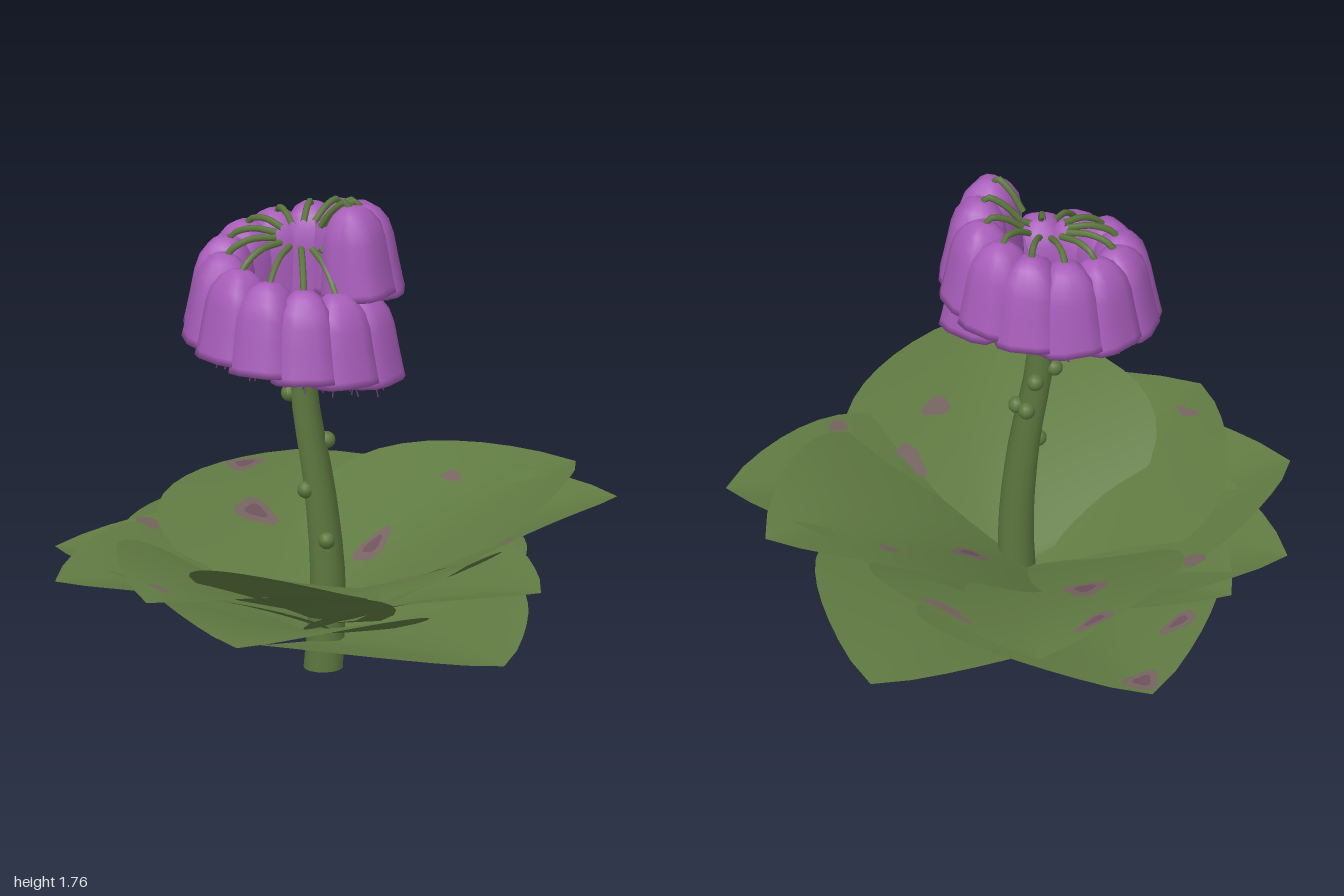
import * as THREE from 'three';

const paint = (name, color, side = THREE.FrontSide) => {
  const m = new THREE.MeshStandardMaterial({ color, side });
  m.name = name;
  return m;
};
const V = (x, y, z) => new THREE.Vector3(x, y, z);

const BASE = { x: 0.07, z: 0.03 };   // foot of the stem
const HEAD = { x: 0.02, z: 0.1 };    // axis of the flower spiral

// Leaves: tip x, tip y, tip z, base height, width factor
const LEAVES = [
  [-0.22, 0.30, -1.00, 0.13, 1.00], [0.37, 0.61, -0.94, 0.20, 1.00],
  [0.72, 0.59, -0.79, 0.16, 0.92], [0.88, 0.39, -0.24, 0.15, 0.92],
  [0.99, 0.21, 0.06, 0.10, 1.00], [0.93, 0.56, 0.61, 0.19, 1.00],
  [0.43, 0.33, 0.84, 0.12, 0.90], [0.14, 0.47, 1.00, 0.16, 1.00],
  [-0.38, 0.42, 0.93, 0.15, 1.00], [-0.76, 0.38, 0.54, 0.13, 0.95],
  [-0.80, 0.38, 0.22, 0.14, 0.85], [-1.00, 0.33, -0.37, 0.14, 1.00],
  [-0.72, 0.48, -0.66, 0.18, 1.00],
].map(([x, tipY, z, baseY, wide]) => {
  const dx = x - BASE.x, dz = z - BASE.z, length = Math.hypot(dx, dz);
  return { tipY, baseY, wide, length, c: dx / length, s: dz / length };
});

const halfWidth = (leaf, u) =>
  0.56 * leaf.wide * Math.pow(Math.max(0, Math.sin(Math.PI * Math.pow(u, 0.68))), 0.8);

// Leaf surface: arched along its length, sides lifted
const leafHeight = (leaf, u, across) =>
  leaf.baseY + (leaf.tipY - leaf.baseY) * (1 - Math.pow(1 - Math.min(u, 1), 1.7)) +
  0.24 * Math.pow(Math.abs(across), 1.3);

function leafGeometry(leaf) {
  const g = new THREE.PlaneGeometry(2, 1, 8, 14), p = g.attributes.position;
  for (let i = 0; i < p.count; i++) {
    const u = THREE.MathUtils.clamp(p.getY(i) + 0.5, 0, 1);
    const across = p.getX(i) * halfWidth(leaf, u), along = u * leaf.length;
    p.setXYZ(i, BASE.x + leaf.c * along - leaf.s * across, leafHeight(leaf, u, across),
      BASE.z + leaf.s * along + leaf.c * across);
  }
  g.computeVertexNormals();
  return g;
}

// Position of a ground point in leaf terms
function onLeaf(leaf, x, z) {
  const dx = x - BASE.x, dz = z - BASE.z;
  const u = (dx * leaf.c + dz * leaf.s) / leaf.length, across = dz * leaf.c - dx * leaf.s;
  const inside = u > 0 && u < 1 && Math.abs(across) < halfWidth(leaf, u);
  return { inside, y: leafHeight(leaf, Math.max(u, 0), across) };
}

// Irregular blotch lying on the uppermost leaf at its centre
function spotGeometry(x, z, rx, rz, lift) {
  let top = LEAVES[0], best = -1;
  for (const leaf of LEAVES) {
    const hit = onLeaf(leaf, x, z);
    if (hit.inside && hit.y > best) { best = hit.y; top = leaf; }
  }
  const g = new THREE.CircleGeometry(1, 14).rotateX(-Math.PI / 2), p = g.attributes.position;
  for (let i = 0; i < p.count; i++) {
    const a = Math.atan2(p.getZ(i), p.getX(i)), k = 1 + 0.18 * Math.sin(3 * a + x * 9);
    const px = x + p.getX(i) * rx * k, pz = z + p.getZ(i) * rz * k;
    p.setXYZ(i, px, onLeaf(top, px, pz).y + lift, pz);
  }
  g.computeVertexNormals();
  return g;
}

// Bell with a slightly squared cross-section and a shallow closed mouth
function bellGeometry() {
  const profile = [[0, -0.295], [0.11, -0.305], [0.131, -0.32], [0.127, -0.295], [0.116, -0.2],
    [0.108, -0.12], [0.094, -0.065], [0.066, -0.022], [0.035, 0], [0, 0.004]]
    .map(([r, y]) => new THREE.Vector2(r, y));
  const g = new THREE.LatheGeometry(profile, 16), p = g.attributes.position;
  for (let i = 0; i < p.count; i++) {
    const k = 1 - 0.08 * Math.cos(4 * Math.atan2(p.getZ(i), p.getX(i)));
    p.setXYZ(i, p.getX(i) * k, p.getY(i), p.getZ(i) * k);
  }
  g.computeVertexNormals();
  return g;
}

export function createModel() {
  const model = new THREE.Group();
  model.name = 'bellFlowerPlant';
  const stemGreen = paint('stemGreen', 0x5c763e);
  const leafGreen = paint('leafGreen', 0x607a42, THREE.DoubleSide);
  const spotMauve = paint('spotMauve', 0x75645f, THREE.DoubleSide);
  const spotDark = paint('spotDark', 0x6d525e, THREE.DoubleSide);
  const bellPurple = paint('bellPurple', 0xa75cb9);
  const stamenPurple = paint('stamenPurple', 0x5f3b66);
  const add = (parent, name, geometry, material) => {
    const mesh = new THREE.Mesh(geometry, material);
    mesh.name = name;
    parent.add(mesh);
    return mesh;
  };

  // Leaning, tapered stem
  const H = 1.35;
  const lean = new THREE.CatmullRomCurve3([V(0.068, 0, 0.03), V(0.105, 0.34, 0.045),
    V(0.095, 0.675, 0.075), V(0.04, 1.01, 0.095), V(0.015, 1.35, 0.09)]);
  const stemCentre = (y) => lean.getPoint(THREE.MathUtils.clamp(y / H, 0, 1));
  const stem = new THREE.CylinderGeometry(0.042, 0.07, H, 14, 14).translate(0, H / 2, 0);
  const sp = stem.attributes.position;
  for (let i = 0; i < sp.count; i++) {
    const c = stemCentre(sp.getY(i));
    sp.setXYZ(i, sp.getX(i) + c.x, sp.getY(i), sp.getZ(i) + c.z);
  }
  add(model, 'stem', stem, stemGreen);

  // Round buds on the stem: height, angle around it
  for (const [y, a] of [[0.5, 0.7], [0.68, 1.9], [0.85, -2.0], [0.85, -1.0], [0.98, -2.2], [1.02, 2.6]]) {
    const c = stemCentre(y), r = 0.055;
    add(model, 'stemBud', new THREE.SphereGeometry(0.031, 12, 8), stemGreen)
      .position.set(c.x + r * Math.cos(a), y, c.z + r * Math.sin(a));
  }

  // Rosette of broad leaves
  const rosette = new THREE.Group();
  rosette.name = 'leafRosette';
  model.add(rosette);
  for (const leaf of LEAVES) add(rosette, 'leaf', leafGeometry(leaf), leafGreen);

  // Blotches on both faces of the leaves: x, z, half sizes
  for (const [x, z, rx, rz] of [[-0.92, -0.34, 0.06, 0.07], [-0.7, -0.36, 0.035, 0.09],
    [-0.45, -0.16, 0.08, 0.07], [-0.76, 0.0, 0.04, 0.08], [-0.6, 0.23, 0.04, 0.04],
    [0.55, -0.04, 0.065, 0.045], [0.66, 0.2, 0.035, 0.06], [0.75, -0.2, 0.025, 0.04],
    [0.07, -0.62, 0.045, 0.025], [-0.28, -0.68, 0.12, 0.025], [0.05, 0.84, 0.05, 0.02],
    [0.04, -0.25, 0.05, 0.08]]) {
    for (const face of [1, -1]) {
      add(rosette, 'leafSpot', spotGeometry(x, z, rx, rz, 0.005 * face), spotMauve);
      if (rx * rz > 0.003)
        add(rosette, 'leafSpotCore', spotGeometry(x, z, rx * 0.5, rz * 0.5, 0.008 * face), spotDark);
    }
  }

  // Bells in one descending turn around the stem
  const bell = bellGeometry(), rod = new THREE.CylinderGeometry(0.003, 0.003, 0.1, 5);
  const COUNT = 14;
  for (let i = 0; i < COUNT; i++) {
    const t = i / (COUNT - 1), top = 1.74 - 0.31 * t;
    const r = 0.21 + 0.04 * t + 0.035 * Math.sin(Math.PI * t);
    const flower = new THREE.Group();
    flower.name = 'flower';
    flower.position.set(HEAD.x, 0, HEAD.z);
    flower.rotation.y = THREE.MathUtils.degToRad(15 + 27.5 * i);
    model.add(flower);

    // Bent stalk
    const startY = 1.65 - 0.08 * t;
    const path = new THREE.CatmullRomCurve3([V(0.085, startY, 0),
      V(r * 0.65, (startY + top) / 2 + 0.025, 0), V(r - 0.02, top + 0.015, 0), V(r, top - 0.02, 0)]);
    add(flower, 'flowerStalk', new THREE.TubeGeometry(path, 8, 0.012, 6), stemGreen);

    // Hanging bell with stamen tips below its mouth
    const head = new THREE.Group();
    head.name = 'bellHead';
    head.position.set(r, top, 0);
    head.rotation.z = 0.09;
    flower.add(head);
    add(head, 'bell', bell, bellPurple);
    for (let k = 0; k < 4; k++) {
      const a = k * Math.PI * 0.5 + i, stamen = add(head, 'stamen', rod, stamenPurple);
      stamen.position.set(0.055 * Math.cos(a), -0.32 + 0.01 * (k % 3), 0.055 * Math.sin(a));
      stamen.rotation.set(-0.25 * Math.sin(a), 0, 0.25 * Math.cos(a));
    }
  }
  return model;
}
